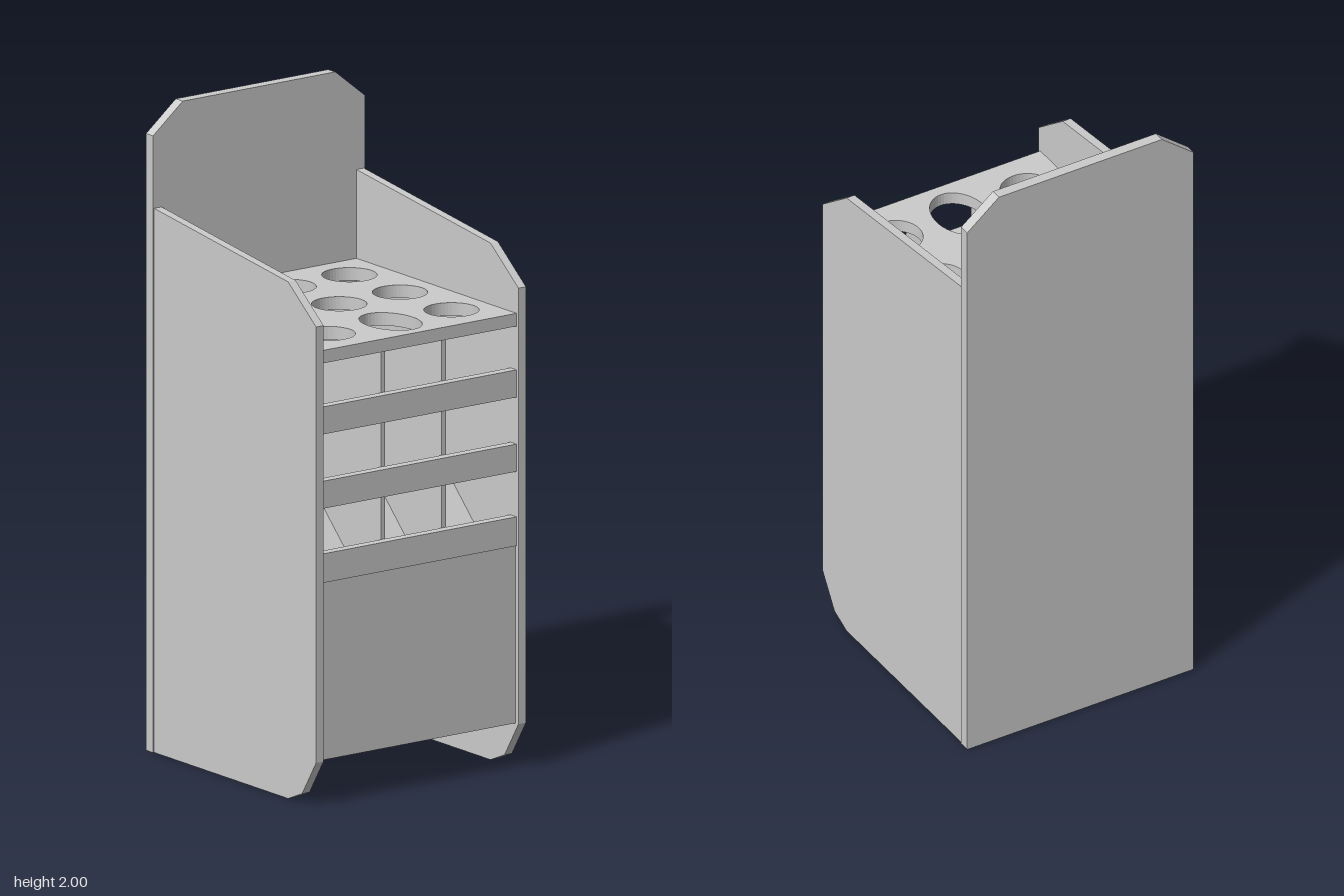
import * as THREE from 'three';

const material = new THREE.MeshStandardMaterial({ color: 0xcccccc, flatShading: true });

function add(parent, name, geometry) {
  const mesh = new THREE.Mesh(geometry, material);
  mesh.name = name;
  parent.add(mesh);
  return mesh;
}

// Box given by its limits on each axis
function block(parent, name, x0, x1, y0, y1, z0, z1) {
  const mesh = add(parent, name, new THREE.BoxGeometry(x1 - x0, y1 - y0, z1 - z0));
  mesh.position.set((x0 + x1) / 2, (y0 + y1) / 2, (z0 + z1) / 2);
  return mesh;
}

// Flat board cut from an outline
function board(points, depth, holes = []) {
  const shape = new THREE.Shape(points.map(([a, b]) => new THREE.Vector2(a, b)));
  shape.holes.push(...holes);
  return new THREE.ExtrudeGeometry(shape, { depth, bevelEnabled: false, curveSegments: 24 });
}

export function createModel() {
  const group = new THREE.Group();
  group.name = 'dispenserCabinet';
  const backX = -0.39, inner = 0.364, panelX = 0.405;

  // Tall back board with clipped top corners
  const back = add(group, 'backPanel', board([
    [-0.396, 0], [0.396, 0], [0.396, 1.91], [0.285, 2], [-0.285, 2], [-0.396, 1.91],
  ], 0.035));
  back.rotation.y = Math.PI / 2;
  back.position.x = -0.425;

  // Side boards
  const sideOutline = [
    [backX, 0], [0.28, 0], [0.35, 0.03], [0.42, 0.14],
    [0.42, 1.49], [0.28, 1.6], [backX, 1.685],
  ];
  for (const [name, z] of [['leftSide', inner], ['rightSide', -0.392]]) {
    add(group, name, board(sideOutline, 0.028)).position.z = z;
  }

  // Top shelf with nine holes, the middle one at the open edge widened
  const holes = [];
  for (const x of [-0.25, 0.003, 0.26]) {
    for (const z of [-0.233, -0.006, 0.229]) {
      const rx = x > 0.2 && Math.abs(z) < 0.1 ? 0.113 : 0.083;
      const hole = new THREE.Path();
      hole.absellipse(x, -z, rx, 0.083, 0, Math.PI * 2, true);
      holes.push(hole);
    }
  }
  const shelf = add(group, 'topShelf', board([
    [backX, -inner], [0.41, -inner], [0.41, inner], [backX, inner],
  ], 0.04, holes));
  shelf.rotation.x = -Math.PI / 2;
  shelf.position.y = 1.37;

  // Sloping chute that levels out into a tray
  add(group, 'chute', board([
    [backX, 1.29], [backX, 1.25], [0.21, 0.66], [panelX, 0.66], [panelX, 0.69], [0.225, 0.69],
  ], inner * 2)).position.z = -inner;

  // Upright dividers between the three lanes
  for (const z of [-0.115, 0.112]) {
    add(group, 'laneDivider', board([
      [backX, 1.29], [0.225, 0.69], [0.38, 0.69], [0.38, 1.37], [backX, 1.37],
    ], 0.016)).position.z = z - 0.008;
  }

  // Slats across the open face
  for (const [y0, y1] of [[0.69, 0.78], [0.92, 1.005], [1.15, 1.235]]) {
    block(group, 'slat', 0.38, 0.41, y0, y1, -inner, inner);
  }

  // Lower panel and raised floor
  block(group, 'lowerPanel', 0.375, panelX, 0.14, 0.66, -inner, inner);
  block(group, 'floor', backX, 0.375, 0.14, 0.17, -inner, inner);

  return group;
}
